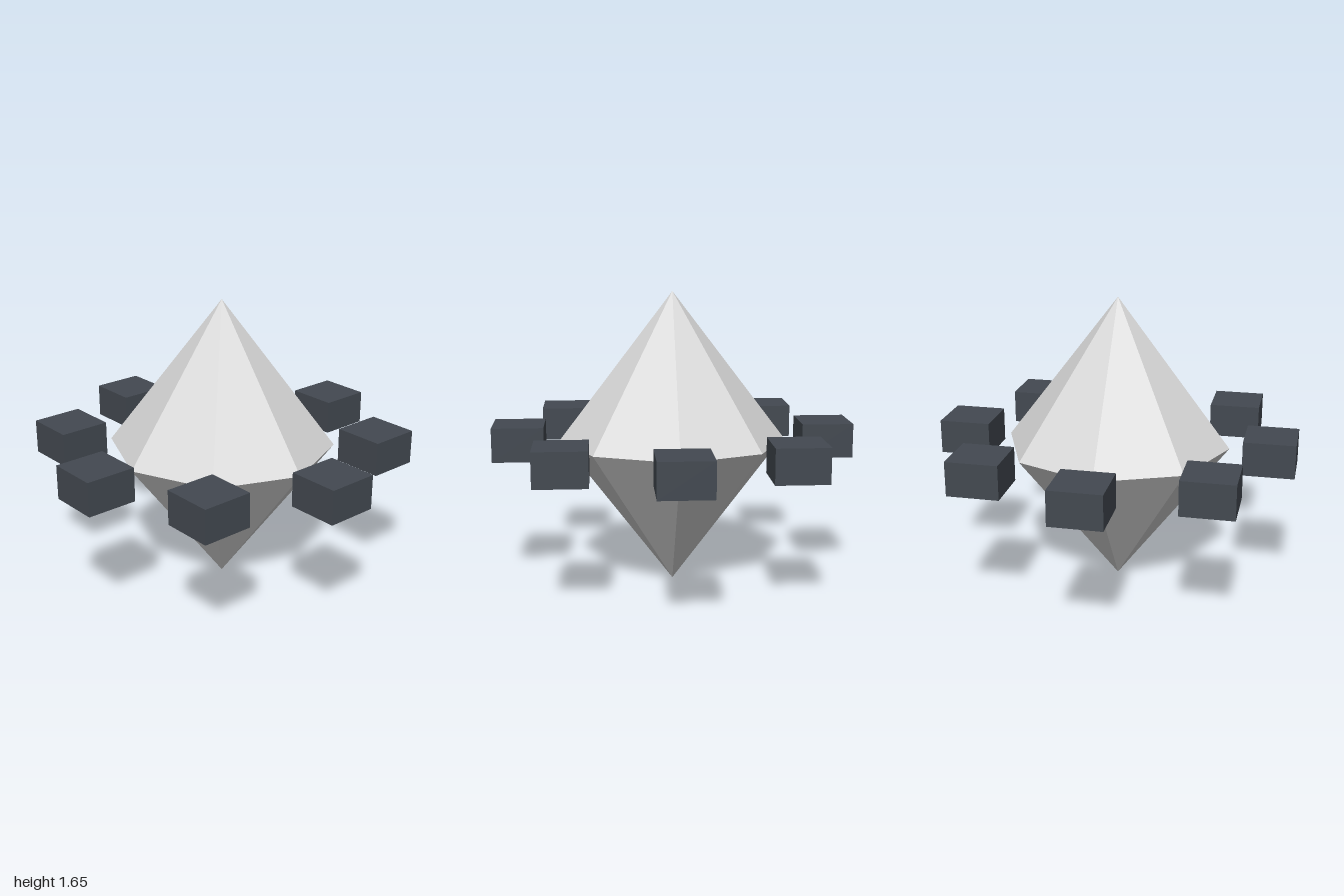
import * as THREE from 'three';

export function createModel() {
  const model = new THREE.Group();
  model.name = 'crystalWithOrbitingBlocks';

  const crystalGrey = new THREE.MeshStandardMaterial({ color: 0xd9d9d9 });
  crystalGrey.name = 'crystalGrey';
  const slate = new THREE.MeshStandardMaterial({ color: 0x434951 });
  slate.name = 'slate';

  const sides = 8, radius = 0.63, half = 0.825;

  // Crystal: two faceted open cones meeting at the girdle
  const crystal = new THREE.Group();
  crystal.name = 'crystal';
  const addHalf = (name, top, bottom, y) => {
    const geometry = new THREE.CylinderGeometry(top, bottom, half, sides, 1, true).toNonIndexed();
    geometry.computeVertexNormals(); // flat facets
    const mesh = new THREE.Mesh(geometry, crystalGrey);
    mesh.name = name;
    mesh.position.y = y;
    crystal.add(mesh);
  };
  addHalf('crystalTop', 0, radius, half * 1.5);
  addHalf('crystalBottom', radius, 0, half * 0.5);
  model.add(crystal);

  // Ring of axis-aligned blocks around the girdle
  const ring = new THREE.Group();
  ring.name = 'blockRing';
  const blockGeometry = new THREE.BoxGeometry(0.285, 0.19, 0.285);
  const ringRadius = 0.8575;
  for (let i = 0; i < sides; i++) {
    const angle = (i / sides) * Math.PI * 2;
    const block = new THREE.Mesh(blockGeometry, slate);
    block.name = `block${i + 1}`;
    block.position.set(Math.sin(angle) * ringRadius, half, Math.cos(angle) * ringRadius);
    ring.add(block);
  }
  model.add(ring);

  return model;
}
